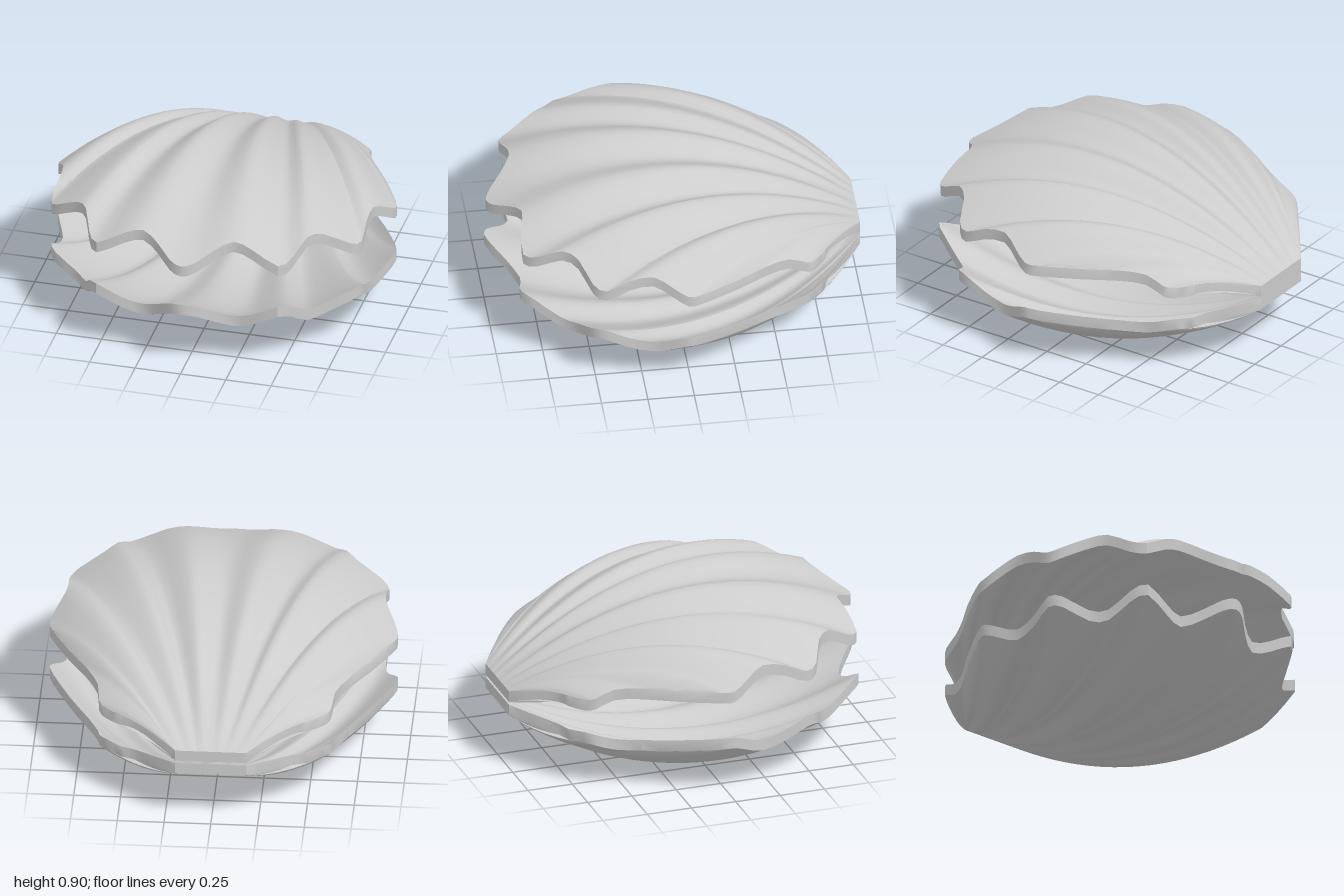
import * as THREE from 'three';
import { toCreasedNormals } from 'three/addons/utils/BufferGeometryUtils.js';

// Half of the scalloped rim, front tip to hinge corner: x, z, height, dome rise of its rib
const RIM = [
  [0, 0.99, 0.65, 0.28], [0.07, 0.96, 0.665, 0.28], [0.15, 0.89, 0.71, 0.278],
  [0.25, 0.83, 0.75, 0.275], [0.36, 0.845, 0.72, 0.265], [0.5, 0.855, 0.65, 0.25],
  [0.56, 0.78, 0.67, 0.24], [0.61, 0.66, 0.735, 0.23], [0.68, 0.58, 0.72, 0.22],
  [0.81, 0.52, 0.65, 0.205], [0.855, 0.45, 0.63, 0.195], [0.85, 0.33, 0.68, 0.18],
  [0.855, 0.2, 0.7, 0.165], [0.9, 0.1, 0.65, 0.155], [0.93, 0.02, 0.605, 0.14],
  [0.91, -0.06, 0.6, 0.13], [0.8, -0.27, 0.595, 0.1], [0.7, -0.43, 0.59, 0.07],
  [0.635, -0.56, 0.575, 0.05], [0.62, -0.66, 0.53, 0.04], [0.58, -0.71, 0.515, 0.03],
  [0.5, -0.77, 0.515, 0.02], [0.42, -0.8, 0.51, 0.015], [0.3, -0.91, 0.47, 0.008],
  [0.19, -1, 0.44, 0],
];
const HINGE_HALF = 0.19, HINGE_Y = 0.44, THICK = 0.062;
const COLS = (RIM.length - 1) * 4, ROWS = 20;

// Mirrored curves: rim position, and per-rib (dome rise, hinge x)
const half = RIM.map(([x, z, y, rise], i) => ({
  x, z, y, rise, hx: HINGE_HALF * Math.min(1, i / 14),
}));
const full = [
  ...half.slice(1).reverse().map((p) => ({ ...p, x: -p.x, hx: -p.hx })),
  ...half,
];
const rimCurve = new THREE.CatmullRomCurve3(
  full.map((p) => new THREE.Vector3(p.x, p.y, p.z)), false, 'catmullrom', 0.5);
const ribCurve = new THREE.CatmullRomCurve3(
  full.map((p) => new THREE.Vector3(p.rise, p.hx, 0)), false, 'catmullrom', 0.5);

// Each column is a closed section: outer arc from hinge to rim, then the inner arc back
function shellGeometry(lower) {
  const pos = [], index = [], ring = 2 * (ROWS + 1);
  for (let i = 0; i <= COLS; i++) {
    const rim = rimCurve.getPoint(i / COLS);
    const rib = ribCurve.getPoint(i / COLS);
    for (let j = 0; j < ring; j++) {
      const outer = j <= ROWS;
      const v = (outer ? j : ring - 1 - j) / ROWS;
      const x = THREE.MathUtils.lerp(rib.y, rim.x, v);
      const z = THREE.MathUtils.lerp(-1, rim.z, v);
      let y = THREE.MathUtils.lerp(HINGE_Y, rim.y, v) + rib.x * 4 * v * (1 - v);
      if (!outer) y -= THICK;
      // the lower valve is the upper one flipped and tilted about the hinge
      if (lower) pos.push(x, 0.74 - y + 0.135 * (z + 1), -1 + (z + 1) * 1.005);
      else pos.push(x, y, z);
    }
  }
  for (let i = 0; i < COLS; i++) {
    for (let j = 0; j < ring; j++) {
      const k = (j + 1) % ring;
      const a = i * ring + j, b = i * ring + k;
      const c = a + ring, d = b + ring;
      if (lower) index.push(a, c, b, b, c, d);
      else index.push(a, b, c, b, d, c);
    }
  }
  const geo = new THREE.BufferGeometry();
  geo.setAttribute('position', new THREE.Float32BufferAttribute(pos, 3));
  geo.setIndex(index);
  return toCreasedNormals(geo, 0.6);
}

export function createModel() {
  const group = new THREE.Group();
  group.name = 'clam';
  const material = new THREE.MeshStandardMaterial({ color: 0xcccccc });
  for (const lower of [false, true]) {
    const shell = new THREE.Mesh(shellGeometry(lower), material);
    shell.name = lower ? 'lowerShell' : 'upperShell';
    group.add(shell);
  }
  // rest the lower shell on the ground
  const lift = -new THREE.Box3().setFromObject(group).min.y;
  group.children.forEach((shell) => { shell.position.y = lift; });
  return group;
}
